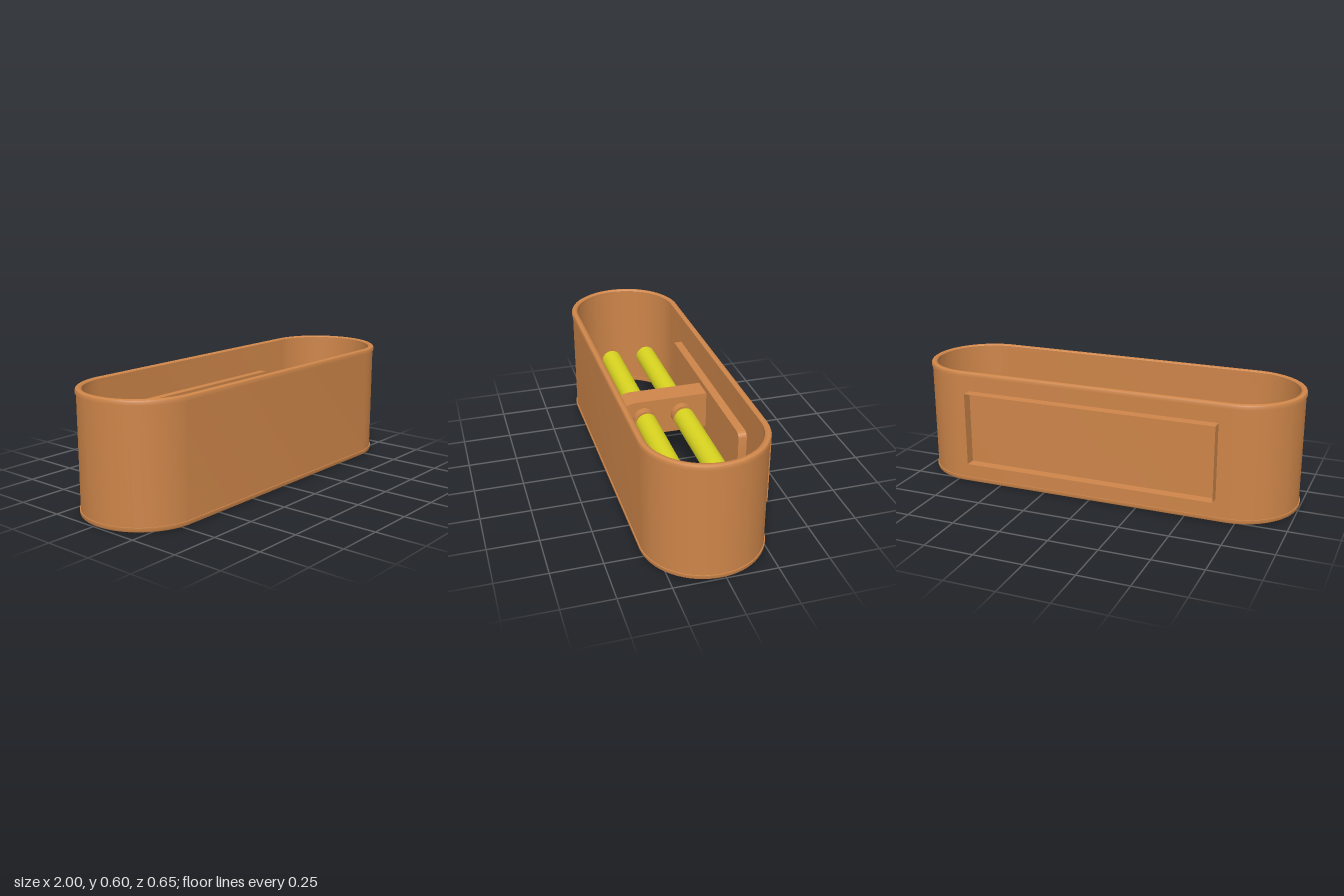
import * as THREE from 'three';
import { toCreasedNormals } from 'three/addons/utils/BufferGeometryUtils.js';

const copper = new THREE.MeshStandardMaterial({ color: 0xcd8549 });
const copperSheet = new THREE.MeshStandardMaterial({ color: 0xcd8549, side: THREE.DoubleSide });
const yellow = new THREE.MeshStandardMaterial({ color: 0xd9d420 });

const MID_Y = 0.31; // height of the mount's centre
const SHADE_Z = 0.023; // centre of the shade in depth

// Sweeps a closed (radius, y) section around a stadium outline
function stadiumRing(section) {
  const points = section.map(([r, y]) => new THREE.Vector2(r, y));
  points.push(points[0].clone());
  // odd half-count keeps columns off x = 0, so the halves can be pulled apart
  const geo = new THREE.LatheGeometry(points, 66, Math.PI / 2);
  const pos = geo.attributes.position;
  for (let i = 0; i < pos.count; i++) pos.setX(i, pos.getX(i) + Math.sign(pos.getX(i)) * 0.7);
  return toCreasedNormals(geo, 0.6);
}

function add(parent, name, geo, mat, x = 0, y = 0, z = 0) {
  const mesh = new THREE.Mesh(geo, mat);
  mesh.name = name;
  mesh.position.set(x, y, z);
  parent.add(mesh);
  return mesh;
}

export function createModel() {
  const model = new THREE.Group();
  model.name = 'wallLamp';

  // Shade: thin wall open at top and bottom
  add(model, 'shade', stadiumRing([[0.275, 0.01], [0.295, 0.01], [0.295, 0.59], [0.275, 0.59]]),
    copper, 0, 0, SHADE_Z);

  // Rims with rounded outer edges, mirrored top and bottom
  const rim = [[0.27, 0.575], [0.3, 0.575], [0.3, 0.588], [0.297, 0.595], [0.29, 0.599],
    [0.284, 0.6], [0.275, 0.598], [0.27, 0.593]];
  add(model, 'topRim', stadiumRing(rim), copper, 0, 0, SHADE_Z);
  const lower = rim.map(([r, y]) => [r, 0.6 - y]).reverse();
  add(model, 'bottomRim', stadiumRing(lower), copper, 0, 0, SHADE_Z);

  // Wall frame: four thin sheets standing off the back of the shade
  const frame = new THREE.Group();
  frame.name = 'wallFrame';
  frame.position.set(0, MID_Y, -0.2975);
  model.add(frame);
  for (const s of [-1, 1]) {
    add(frame, 'frameEdge', new THREE.PlaneGeometry(1.31, 0.055), copperSheet, 0, s * 0.19, 0)
      .rotation.x = -s * Math.PI / 2;
    add(frame, 'frameSide', new THREE.PlaneGeometry(0.055, 0.38), copperSheet, s * 0.655, 0, 0)
      .rotation.y = s * Math.PI / 2;
  }

  // Backplate with rounded corners
  const w = 0.535, h = 0.13, c = 0.03;
  const plate = new THREE.Shape();
  plate.absarc(w - c, h - c, c, 0, Math.PI / 2);
  plate.absarc(-w + c, h - c, c, Math.PI / 2, Math.PI);
  plate.absarc(-w + c, -h + c, c, Math.PI, Math.PI * 1.5);
  plate.absarc(w - c, -h + c, c, Math.PI * 1.5, Math.PI * 2);
  const plateGeo = new THREE.ExtrudeGeometry(plate, { depth: 0.045, bevelEnabled: false, curveSegments: 6 });
  add(model, 'backplate', toCreasedNormals(plateGeo, 0.6), copper, 0, MID_Y, -0.255);

  // Arm: bar with a round front end, drawn from the side and extruded across x
  const r = 0.097;
  const side = new THREE.Shape();
  side.moveTo(0.21, -r);
  side.lineTo(0.21, r);
  side.lineTo(-0.26 + r, r);
  side.absarc(-0.26 + r, 0, r, Math.PI / 2, Math.PI * 1.5);
  const armGeo = new THREE.ExtrudeGeometry(side, { depth: 0.12, bevelEnabled: false, curveSegments: 16 });
  armGeo.translate(0, 0, -0.06).rotateY(Math.PI / 2);
  add(model, 'arm', toCreasedNormals(armGeo, 0.6), copper, 0, MID_Y + 0.005, 0);

  // Sockets and tube bulbs, a pair on each side of the arm
  const rod = (name, radius, x0, x1, s, z, mat) => {
    const geo = new THREE.CylinderGeometry(radius, radius, x1 - x0, 32).rotateZ(Math.PI / 2);
    add(model, name, geo, mat, s * (x0 + x1) / 2, MID_Y + 0.01, z);
  };
  for (const s of [-1, 1]) {
    for (const z of [-0.076, 0.123]) {
      rod('socket', 0.056, 0.05, 0.1, s, z, copper);
      rod('socketNeck', 0.043, 0.1, 0.115, s, z, copper);
      rod('bulb', 0.053, 0.113, 0.64, s, z, yellow);
    }
  }
  return model;
}
